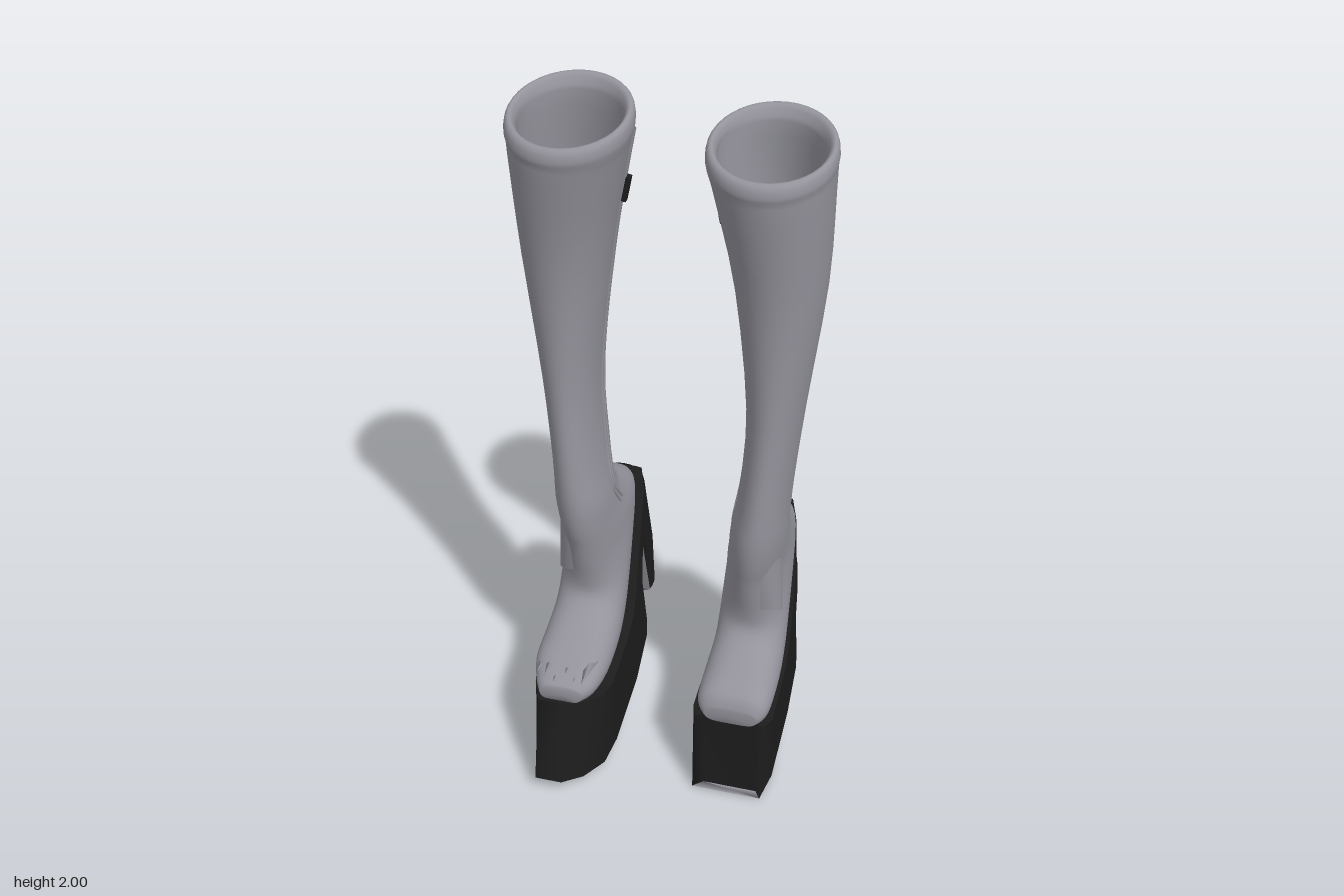
import * as THREE from 'three';

const grey = new THREE.MeshStandardMaterial({ color: 0x94939c, side: THREE.DoubleSide });
grey.name = 'grey leather';
const black = new THREE.MeshStandardMaterial({ color: 0x1d1d1d, side: THREE.DoubleSide });
black.name = 'black rubber';

// A ring is [front z, front y, back z, back y, outer x, inner x, back squareness, front squareness]
function ringPoint(r, t) {
  const s = Math.cos(t), u = Math.sin(t);
  const q = s < 0 ? r[6] ?? 1 : r[7] ?? 1;
  const w = Math.sign(u) * Math.pow(Math.abs(u), q);
  return [
    (r[4] + r[5]) / 2 + w * (r[5] - r[4]) / 2,
    (r[1] + r[3]) / 2 + s * (r[1] - r[3]) / 2,
    (r[0] + r[2]) / 2 + s * (r[0] - r[2]) / 2,
  ];
}

const ring = (r, n = 40) =>
  Array.from({ length: n }, (_, i) => ringPoint(r, (i / n) * Math.PI * 2));

// A ring shrunk to its middle, to close an end
const cap = (r) => {
  const z = (r[0] + r[2]) / 2, y = (r[1] + r[3]) / 2, x = (r[4] + r[5]) / 2;
  return [z, y, z, y, x, x];
};

// Catmull-Rom subdivision of a list of rings
function refine(rows, n = 3) {
  const full = rows.map((r) => [...r, 1, 1].slice(0, 8));
  const at = (i) => full[Math.min(Math.max(i, 0), full.length - 1)];
  const out = [];
  for (let i = 0; i < full.length - 1; i++) {
    for (let k = 0; k < n; k++) {
      const t = k / n;
      out.push(at(i).map((b, c) => {
        const a = at(i - 1)[c], d = at(i + 1)[c], e = at(i + 2)[c];
        return b + 0.5 * t * (d - a + t * (2 * a - 5 * b + 4 * d - e + t * (3 * (b - d) + e - a)));
      }));
    }
  }
  out.push(full[full.length - 1]);
  return out;
}

// Skin over rows of points; mirror = -1 flips the shape across x
function loft(rows, closed, mirror) {
  const n = rows[0].length, pos = [], idx = [];
  rows.forEach((row) => row.forEach(([x, y, z]) => pos.push(x * mirror, y, z)));
  for (let i = 0; i < rows.length - 1; i++) {
    for (let j = 0; j < (closed ? n : n - 1); j++) {
      const k = (j + 1) % n;
      const a = i * n + j, b = i * n + k, c = a + n, d = b + n;
      if (mirror > 0) idx.push(a, c, b, b, c, d);
      else idx.push(a, b, c, b, d, c);
    }
  }
  const g = new THREE.BufferGeometry();
  g.setAttribute('position', new THREE.Float32BufferAttribute(pos, 3));
  g.setIndex(idx);
  g.computeVertexNormals();
  return g;
}

// Lining from the insole up to the rolled rim
const lining = [
  [0.08, 0.56, -0.02, 0.5, -0.33, -0.2],
  [0.12, 0.82, -0.08, 0.82, -0.32, -0.19],
  [0.11, 1.2, -0.13, 1.2, -0.345, -0.22],
  [0.12, 1.55, -0.14, 1.58, -0.385, -0.18],
  [0.15, 1.85, -0.1, 1.92, -0.388, -0.125],
  [0.16, 1.905, -0.105, 1.98, -0.39, -0.12],
  [0.178, 1.925, -0.12, 2.0, -0.403, -0.108],
  [0.194, 1.915, -0.137, 1.995, -0.414, -0.096],
  [0.199, 1.89, -0.143, 1.97, -0.418, -0.093],
  [0.193, 1.868, -0.142, 1.945, -0.415, -0.097],
];
const shaft = [
  [0.185, 1.82, -0.145, 1.86, -0.413, -0.112],
  [0.14, 1.55, -0.16, 1.58, -0.402, -0.165],
  [0.125, 1.2, -0.15, 1.2, -0.36, -0.205],
  [0.135, 0.95, -0.14, 0.95, -0.337, -0.195],
  [0.14, 0.82, -0.125, 0.81, -0.332, -0.175],
  [0.13, 0.73, -0.18, 0.765, -0.33, -0.165, 0.8],
];
const foot = [
  [0.115, 0.67, -0.24, 0.725, -0.33, -0.155, 0.65],
  [0.1, 0.6, -0.24, 0.685, -0.333, -0.15, 0.6],
  [0.085, 0.53, -0.17, 0.58, -0.337, -0.145, 0.55],
  [0.085, 0.48, -0.1, 0.46, -0.34, -0.142, 0.5, 0.9],
  [0.12, 0.445, -0.04, 0.36, -0.343, -0.14, 0.45, 0.8],
  [0.19, 0.415, 0.06, 0.305, -0.347, -0.135, 0.4, 0.7],
];
const toes = {
  long: [
    [0.26, 0.39, 0.2, 0.285, -0.345, -0.135, 0.4, 0.6],
    [0.32, 0.365, 0.3, 0.29, -0.32, -0.15, 0.4, 0.6],
    [0.347, 0.345, 0.345, 0.295, -0.3, -0.18, 0.4, 0.6],
  ],
  short: [
    [0.245, 0.39, 0.2, 0.285, -0.345, -0.135, 0.4, 0.6],
    [0.268, 0.37, 0.25, 0.285, -0.335, -0.145, 0.4, 0.6],
    [0.28, 0.34, 0.275, 0.29, -0.315, -0.165, 0.4, 0.6],
  ],
};

// Sole stations: [top z, top y, bottom z, bottom y, outer x, inner x]
const soleBody = [
  [-0.275, 0.7, -0.265, 0.63, -0.265, -0.19],
  [-0.255, 0.712, -0.25, 0.62, -0.295, -0.165],
  [-0.22, 0.66, -0.215, 0.585, -0.315, -0.148],
  [-0.16, 0.575, -0.185, 0.53, -0.33, -0.14],
  [-0.1, 0.475, -0.15, 0.45, -0.34, -0.135],
  [-0.06, 0.4, -0.13, 0.375, -0.343, -0.13],
  [-0.03, 0.355, -0.165, 0.2, -0.345, -0.127],
  [0, 0.335, -0.155, 0.155, -0.347, -0.125],
  [0.06, 0.315, -0.03, 0.085, -0.35, -0.122],
  [0.22, 0.285, 0.2, 0.042, -0.352, -0.12],
];
const soleToes = {
  long: [
    [0.28, 0.29, 0.29, 0.032, -0.335, -0.13],
    [0.33, 0.295, 0.37, 0.04, -0.315, -0.17],
    [0.36, 0.3, 0.42, 0.05, -0.3, -0.222],
  ],
  short: [
    [0.262, 0.285, 0.288, 0.03, -0.335, -0.135],
    [0.27, 0.3, 0.272, 0.04, -0.32, -0.165],
  ],
};

const heelRings = [
  [-0.2, 0.6, -0.28, 0.7, -0.302, -0.153, 0.8, 0.2],
  [-0.275, 0.39, -0.348, 0.43, -0.298, -0.15, 0.8, 0.2],
  [-0.345, 0.17, -0.422, 0.195, -0.283, -0.165, 0.8, 0.2],
];

function makeBoot(name, mirror, toe) {
  const boot = new THREE.Group();
  boot.name = name;
  const add = (part, geometry, material) => {
    const mesh = new THREE.Mesh(geometry, material);
    mesh.name = part;
    boot.add(mesh);
    return mesh;
  };

  // Upper with lining and rim in one skin
  const rings = refine([...lining, ...shaft, ...foot, ...toes[toe]]);
  rings.push(cap(rings[rings.length - 1]));
  add('upper', loft(rings.map((r) => ring(r)), true, mirror), grey);
  add('insole', loft([ring(cap(lining[0])), ring(lining[0])].reverse(), true, -mirror).scale(-1, 1, 1), black);

  // Platform sole: black walls and top, grey underside
  const st = [...soleBody, ...soleToes[toe]], back = [...st].reverse();
  const top = (s, x) => [x, s[1], s[0]], bottom = (s, x) => [x, s[3], s[2]];
  const loop = (f) => [...back.map((s) => f(s, s[5])), ...st.map((s) => f(s, s[4]))];
  add('soleWall', loft([loop(top), loop(bottom)], true, mirror), black);
  add('soleTop', loft(st.map((s) => [top(s, s[4]), top(s, s[5])]), false, mirror), black);
  add('soleUnderside', loft(st.map((s) => [bottom(s, s[5]), bottom(s, s[4])]), false, mirror), grey);

  // Block heel with a grey front panel
  add('heel', loft(heelRings.map((r) => ring(r)), true, mirror), black);
  const tip = heelRings[2];
  add('heelTip', loft([ring(tip), ring(cap(tip))], true, mirror), black);
  add('heelFrontPanel', loft([[0.42, -0.26], [0.18, -0.337]].map(([y, z]) =>
    [[-0.284, y, z], [-0.166, y, z]]), false, mirror), grey);

  // Zip along the inner side: two ridges and a pull
  for (const angle of [94, 102]) {
    const path = new THREE.CatmullRomCurve3([lining[9], ...shaft].map((r) => {
      const [x, y, z] = ringPoint(r, THREE.MathUtils.degToRad(angle));
      return new THREE.Vector3(x * mirror, y, z);
    }));
    add('zipRidge', new THREE.TubeGeometry(path, 40, 0.005, 6), grey);
  }
  const pull = add('zipPull', new THREE.BoxGeometry(0.012, 0.07, 0.02), black);
  pull.position.set(-0.122 * mirror, 1.75, -0.005);
  pull.rotation.z = -0.2 * mirror;

  // Ragged flaps over the longer toe
  if (toe === 'long') {
    for (let i = 0; i < 6; i++) {
      const flap = add('toeFlap', new THREE.ConeGeometry(0.02, 0.1, 4), grey);
      flap.scale.z = 0.4;
      flap.rotation.x = Math.PI / 2 + 0.05 * (i % 3 - 1);
      flap.position.set((-0.315 + i * 0.028) * mirror, 0.365 + 0.01 * (i % 2), 0.27 + 0.012 * (i % 3));
    }
  }
  return boot;
}

export function createModel() {
  const model = new THREE.Group();
  model.name = 'platformBoots';
  const right = makeBoot('rightBoot', 1, 'long');
  const left = makeBoot('leftBoot', -1, 'short');
  left.position.y = -0.028;
  model.add(right, left);
  return model;
}
